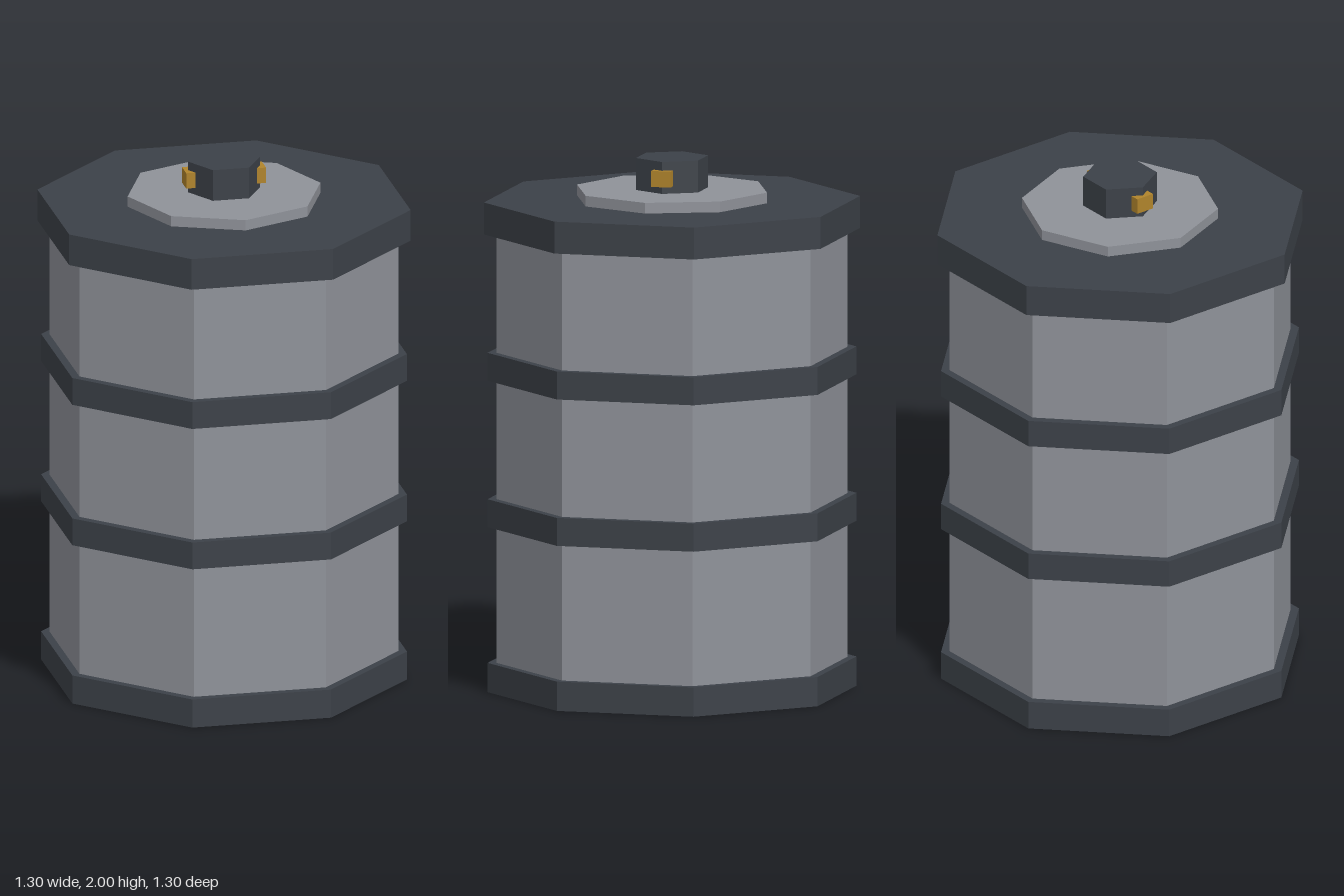
import * as THREE from 'three';

const mat = (name, color) => {
  const m = new THREE.MeshStandardMaterial({ color, flatShading: true });
  m.name = name;
  return m;
};

export function createModel() {
  const model = new THREE.Group();
  model.name = 'barrel';
  const dark = mat('dark steel', 0x3c4148);
  const grey = mat('grey metal', 0x8f9299);
  const brass = mat('brass', 0xb0842c);

  // Upright prism between two heights
  const prism = (name, radius, y0, y1, sides, turn, material) => {
    const geo = new THREE.CylinderGeometry(radius, radius, y1 - y0, sides);
    geo.rotateY(turn);
    const mesh = new THREE.Mesh(geo, material);
    mesh.name = name;
    mesh.position.y = (y0 + y1) / 2;
    model.add(mesh);
  };
  // Octagon sized by its half width, flat sides facing the axes
  const octagon = (name, half, y0, y1, material) =>
    prism(name, half / Math.cos(Math.PI / 8), y0, y1, 8, Math.PI / 8, material);

  // Drum
  octagon('body', 0.607, 0.01, 1.8, grey);
  octagon('baseBand', 0.637, 0, 0.11, dark);
  octagon('lowerBand', 0.637, 0.62, 0.725, dark);
  octagon('upperBand', 0.637, 1.17, 1.275, dark);
  octagon('lid', 0.65, 1.72, 1.84, dark);

  // Cap on the lid
  prism('capPlate', 0.367, 1.83, 1.88, 8, 0, grey);
  prism('hexCap', 0.138, 1.87, 2, 6, Math.PI / 2, dark);

  // Lugs on either side of the cap
  for (const side of [-1, 1]) {
    const lug = new THREE.Mesh(new THREE.BoxGeometry(0.042, 0.06, 0.074), brass);
    lug.name = side > 0 ? 'leftLug' : 'rightLug';
    lug.position.set(side * 0.131, 1.937, 0);
    model.add(lug);
  }
  return model;
}
